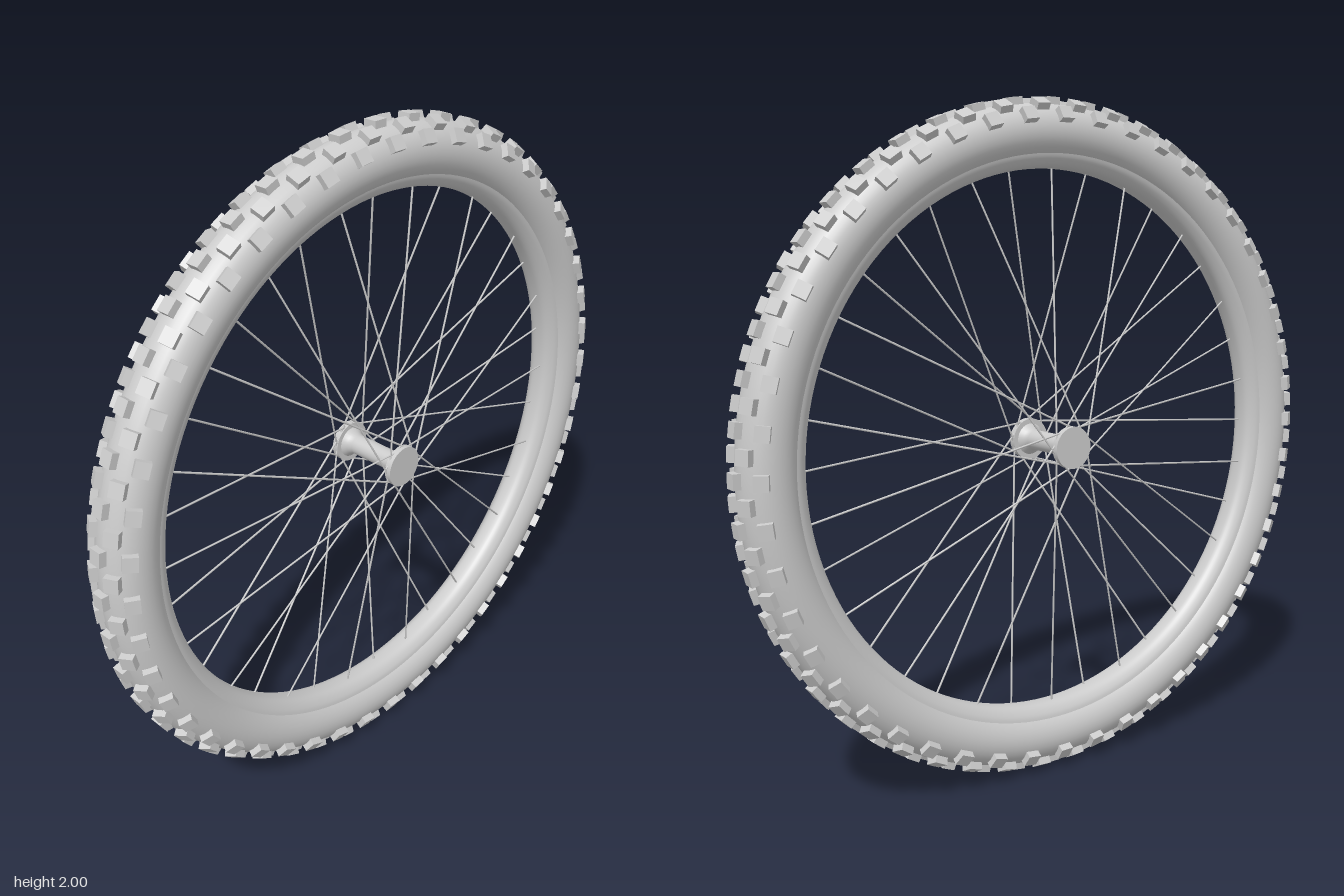
import * as THREE from 'three';

const RIM_R = 0.805, TIRE_R = 0.9, TUBE_X = 0.078, TUBE_R = 0.08;
const material = new THREE.MeshStandardMaterial({ color: 0xcccccc });

// Revolve [radius, x] points around the wheel axle (x axis)
function revolve(name, points, segments) {
  const geometry = new THREE.LatheGeometry(points.map(([r, x]) => new THREE.Vector2(r, x)), segments);
  geometry.rotateZ(-Math.PI / 2);
  const mesh = new THREE.Mesh(geometry, material);
  mesh.name = name;
  return mesh;
}

// Position on the wheel at radius r, side offset x and wheel angle a
const polar = (r, a, x) => new THREE.Vector3(x, r * Math.cos(a), r * Math.sin(a));

function createTire() {
  const points = [];
  for (let i = 0; i <= 32; i++) {
    const a = -Math.PI + (i / 32) * Math.PI * 2;
    points.push([TIRE_R + TUBE_R * Math.cos(a), TUBE_X * Math.sin(a)]);
  }
  return revolve('tire', points, 128);
}

// Shallow rim with rounded inner bed
function createRim() {
  const curve = new THREE.SplineCurve([
    [0.855, 0.054], [0.835, 0.05], [0.822, 0.044], [0.808, 0.032], [0.8, 0.015],
    [0.8, -0.015], [0.808, -0.032], [0.822, -0.044], [0.835, -0.05], [0.855, -0.054],
  ].map(([r, x]) => new THREE.Vector2(r, x)));
  const points = curve.getPoints(27).map((p) => [p.x, p.y]).reverse();
  const rim = revolve('rim', points, 128);
  rim.material = material.clone();
  rim.material.side = THREE.DoubleSide;
  return rim;
}

// Staggered tread blocks: centre and shoulder rows alternate with a middle pair
function createTread() {
  const geometry = new THREE.BoxGeometry(0.04, 0.026, 0.042);
  const rows = 96;
  const tread = new THREE.Group();
  tread.name = 'tread';
  for (let i = 0; i < rows; i++) {
    const spin = new THREE.Group();
    spin.name = 'treadRow';
    spin.rotation.x = (i / rows) * Math.PI * 2;
    for (const tilt of i % 2 ? [-0.5, 0.5] : [-1.02, 0, 1.02]) {
      const knob = new THREE.Mesh(geometry, material);
      knob.name = 'knob';
      knob.position.set((TUBE_X + 0.005) * Math.sin(tilt), TIRE_R + (TUBE_R + 0.005) * Math.cos(tilt), 0);
      knob.rotation.z = -tilt;
      spin.add(knob);
    }
    tread.add(spin);
  }
  return tread;
}

// Hub: slim barrel flaring to a flange at each end
function createHub() {
  const hub = new THREE.Group();
  hub.name = 'hub';
  const barrel = [[0.05, -0.1], [0.035, -0.085], [0.03, -0.07], [0.03, 0.07], [0.035, 0.085], [0.05, 0.1]];
  hub.add(revolve('barrel', barrel, 32));
  for (const side of [-1, 1]) {
    const flange = new THREE.Mesh(new THREE.CylinderGeometry(0.062, 0.062, 0.02, 32), material);
    flange.name = 'flange';
    flange.rotation.z = Math.PI / 2;
    flange.position.x = side * 0.107;
    hub.add(flange);
  }
  return hub;
}

// Crossed spokes, alternating between flanges and between leading and trailing
function createSpokes() {
  const spokes = new THREE.Group();
  spokes.name = 'spokes';
  const count = 36, up = new THREE.Vector3(0, 1, 0);
  for (let i = 0; i < count; i++) {
    const angle = (i / count) * Math.PI * 2;
    const side = i % 2 ? 1 : -1;
    const lead = Math.floor(i / 2) % 2 ? 1 : -1;
    const start = polar(0.054, angle + lead * 1.4, side * 0.106);
    const end = polar(RIM_R, angle, side * 0.008);
    const dir = end.clone().sub(start);
    const spoke = new THREE.Mesh(new THREE.CylinderGeometry(0.003, 0.003, dir.length(), 6), material);
    spoke.name = 'spoke';
    spoke.position.copy(start).add(end).multiplyScalar(0.5);
    spoke.quaternion.setFromUnitVectors(up, dir.normalize());
    spokes.add(spoke);
  }
  return spokes;
}

export function createModel() {
  const wheel = new THREE.Group();
  wheel.name = 'wheel';
  wheel.add(createTire(), createRim(), createTread(), createHub(), createSpokes());
  wheel.position.y = 1;
  const model = new THREE.Group();
  model.name = 'bicycleWheel';
  model.add(wheel);
  return model;
}
